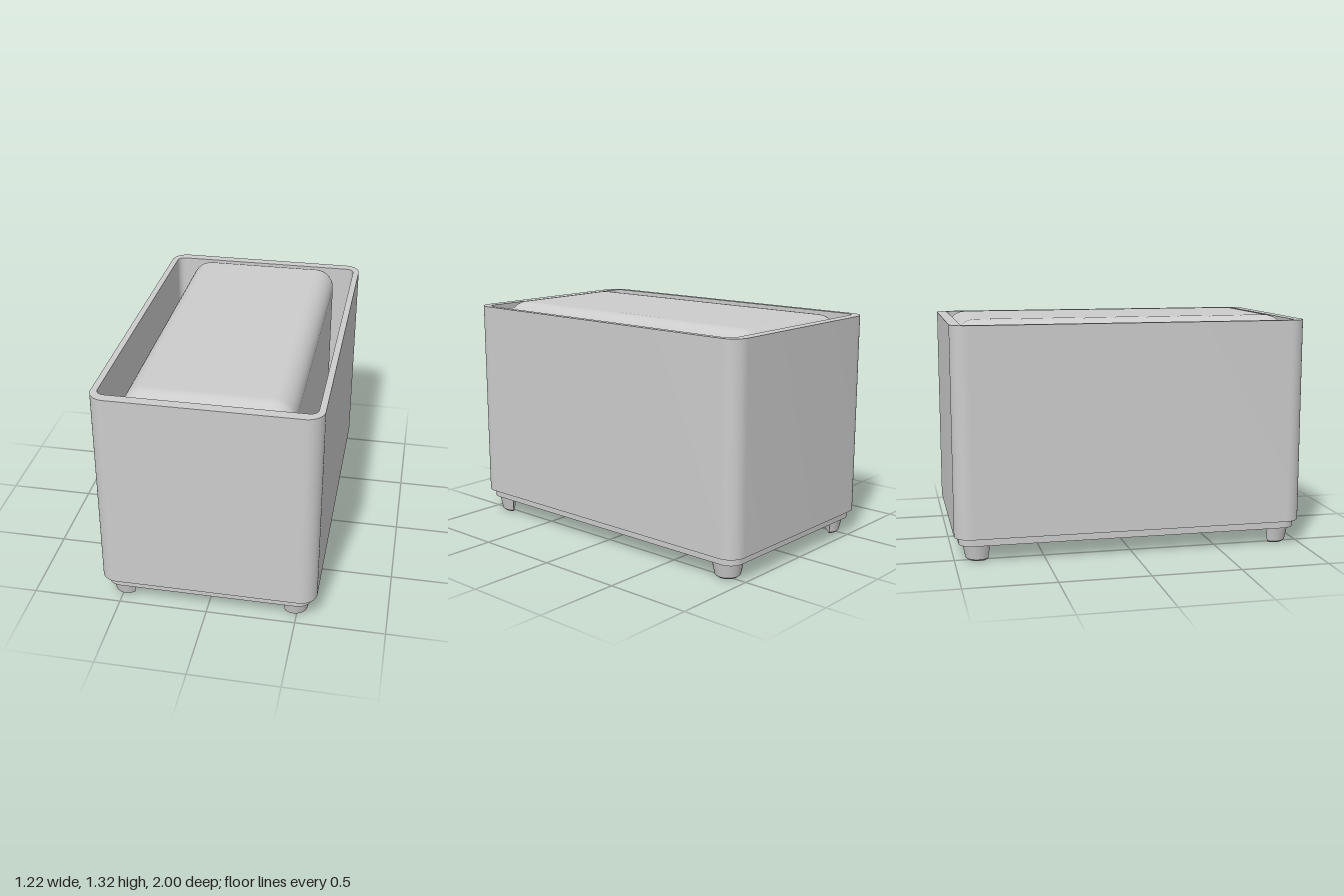
import * as THREE from 'three';
import { toCreasedNormals } from 'three/addons/utils/BufferGeometryUtils.js';
import { RoundedBoxGeometry } from 'three/addons/geometries/RoundedBoxGeometry.js';

const grey = new THREE.MeshStandardMaterial({ color: 0xcccccc });
grey.name = 'lightGrey';
const greySheet = grey;

// Rounded rectangle outline with half sizes w, d and corner radius r
function roundedRect(target, w, d, r) {
  target.moveTo(w, -d + r);
  target.lineTo(w, d - r);
  target.absarc(w - r, d - r, r, 0, Math.PI / 2);
  target.absarc(-w + r, d - r, r, Math.PI / 2, Math.PI);
  target.absarc(-w + r, -d + r, r, Math.PI, Math.PI * 1.5);
  target.absarc(w - r, -d + r, r, Math.PI * 1.5, Math.PI * 2);
  return target;
}

// Upright extrusion of a plan outline between two heights
function slab(name, shape, y0, y1) {
  const geo = new THREE.ExtrudeGeometry(shape, { depth: y1 - y0, bevelEnabled: false, curveSegments: 10 });
  geo.rotateX(-Math.PI / 2);
  geo.translate(0, y0, 0);
  const mesh = new THREE.Mesh(toCreasedNormals(geo, 0.6), grey);
  mesh.name = name;
  return mesh;
}

// Tapered half-round foot, rounded towards +z and flat behind
function makeFoot() {
  const foot = new THREE.Group();
  const profile = [[0, 0], [0.055, 0], [0.071, 0.012], [0.089, 0.1]].map(([x, y]) => new THREE.Vector2(x, y));
  const round = new THREE.LatheGeometry(profile, 14, -Math.PI / 2, Math.PI);
  const outer = new THREE.Mesh(toCreasedNormals(round, 0.5), greySheet);
  outer.name = 'footRound';
  const mirrored = profile.slice(1).reverse().map((p) => new THREE.Vector2(-p.x, p.y));
  const flat = new THREE.ShapeGeometry(new THREE.Shape([...profile.slice(1), ...mirrored]));
  const back = new THREE.Mesh(flat, greySheet);
  back.rotation.y = Math.PI;
  back.name = 'footFlat';
  foot.add(outer, back);
  return foot;
}

export function createModel() {
  const model = new THREE.Group();
  model.name = 'casedBox';

  // Outer case, open at the top
  const caseShape = roundedRect(new THREE.Shape(), 0.61, 1, 0.095);
  caseShape.holes.push(roundedRect(new THREE.Path(), 0.575, 0.94, 0.045));
  model.add(slab('case', caseShape, 0.14, 1.305));

  // Recessed base, which also closes the floor of the case
  model.add(slab('base', roundedRect(new THREE.Shape(), 0.58, 0.975, 0.08), 0.095, 0.145));

  // Soft-edged inner block, its ends let into the end walls
  const block = new THREE.Mesh(new RoundedBoxGeometry(0.91, 1.22, 1.91, 4, 0.115), grey);
  block.position.y = 0.71;
  block.name = 'innerBlock';
  model.add(block);

  // Four feet with their round sides facing the corners
  for (const sx of [-1, 1]) {
    for (const sz of [-1, 1]) {
      const foot = makeFoot();
      foot.name = (sz > 0 ? 'front' : 'back') + (sx > 0 ? 'Left' : 'Right') + 'Foot';
      foot.position.set(sx * 0.483, 0, sz * 0.866);
      foot.rotation.y = Math.atan2(sx, sz);
      model.add(foot);
    }
  }
  return model;
}
